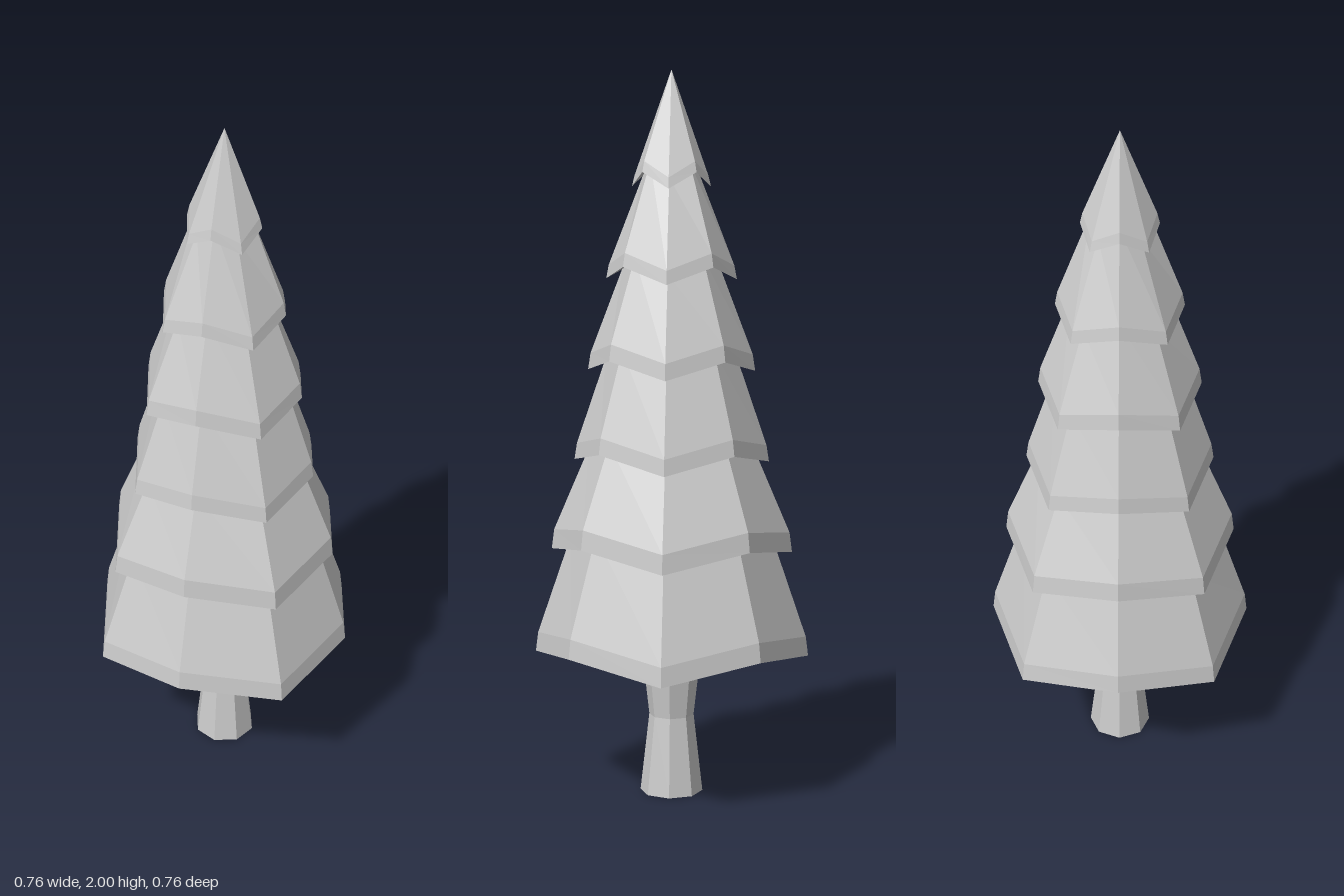
import * as THREE from 'three';

const SIDES = 8;

// Eight-sided faceted solid from a [radius, height] profile, bottom to top.
// Every second corner can be pulled in and lifted to give drooping points.
function facetedLathe(profile, shrink = 1, lift = 0) {
  const points = profile.map(([r, y]) => new THREE.Vector2(r, y));
  const geo = new THREE.LatheGeometry(points, SIDES);
  const pos = geo.attributes.position;
  for (let i = 0; i < pos.count; i++) {
    const column = Math.floor(i / points.length);
    const radius = points[i % points.length].x;
    if (column % 2 === 0 || radius === 0) continue;
    pos.setXYZ(i, pos.getX(i) * shrink, pos.getY(i) + lift, pos.getZ(i) * shrink);
  }
  const flat = geo.toNonIndexed();
  flat.computeVertexNormals();
  return flat;
}

export function createModel() {
  const group = new THREE.Group();
  const material = new THREE.MeshStandardMaterial({ color: 0xcccccc, flatShading: true });
  const add = (name, geometry) => {
    const mesh = new THREE.Mesh(geometry, material);
    mesh.name = name;
    group.add(mesh);
  };

  // Trunk with a narrow waist
  add('trunk', facetedLathe([[0, 0], [0.087, 0], [0.062, 0.22], [0.087, 0.44], [0.087, 0.49], [0, 0.49]]));

  // Branch tiers: rim radius, rim bottom, rim top, then the neck under the next tier
  const tiers = [
    [0.38, 0.393, 0.447, 0.28, 0.72],
    [0.333, 0.686, 0.74, 0.23, 0.965],
    [0.268, 0.938, 0.983, 0.182, 1.215],
    [0.229, 1.188, 1.233, 0.135, 1.462],
    [0.178, 1.438, 1.475, 0.078, 1.715],
    [0.107, 1.688, 1.717, 0, 2],
  ];
  const foliage = [[0, 0.48]];
  for (const [r, bottom, top, neckR, neckY] of tiers) {
    foliage.push([r, bottom], [r - 0.007, top], [neckR, neckY]);
  }
  add('foliage', facetedLathe(foliage, 0.96, 0.042));

  return group;
}
